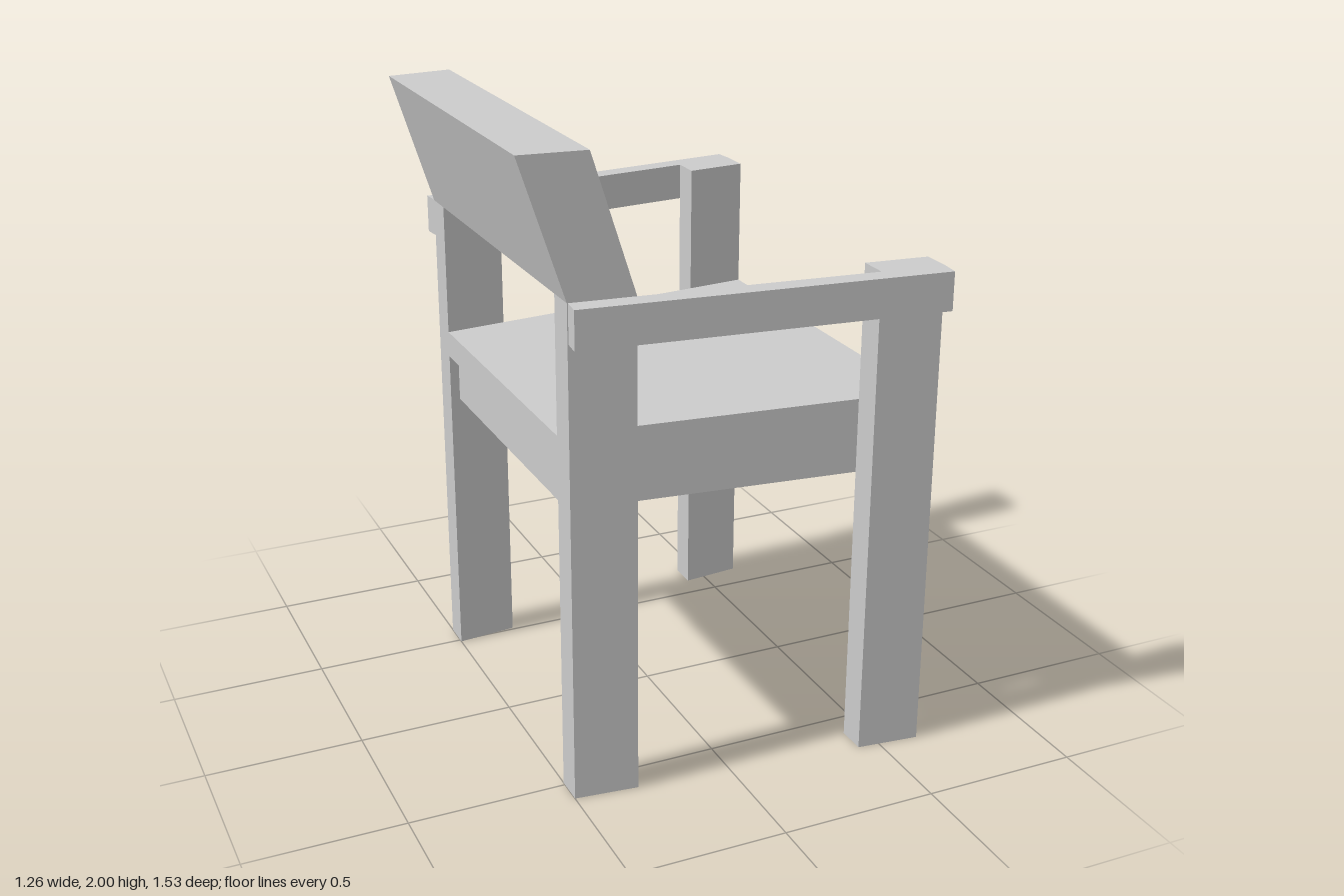
import * as THREE from 'three';

const material = new THREE.MeshStandardMaterial({ color: 0xcccccc, flatShading: true });

// The sides of the chair splay outwards towards the front (+x).
const inner = (x) => 0.51 + 0.1075 * (x + 0.3);   // inner face of the legs
const outer = (x) => inner(x) + 0.094;            // outer face of the legs
const arm = (x) => outer(x) + 0.063;              // outer face of the armrests

// Plan outline: four [x, z] corners, back to front, -z side first.
const span = (x0, x1, z) => [[x0, -z(x0)], [x1, -z(x1)], [x1, z(x1)], [x0, z(x0)]];

// Mirror a plan outline in z, keeping its winding.
const mirror = (p) => p.map(([x, z]) => [x, -z]).reverse();

// Solid between a bottom outline at y0 and a top outline at y1.
function block(name, bottom, y0, y1, top = bottom) {
  const b = bottom.map(([x, z]) => [x, y0, z]);
  const t = top.map(([x, z]) => [x, y1, z]);
  const pos = [];
  const quad = (p, q, r, s) => pos.push(...p, ...q, ...r, ...p, ...r, ...s);
  quad(...b);
  quad(t[0], t[3], t[2], t[1]);
  for (let i = 0; i < 4; i++) {
    const j = (i + 1) % 4;
    quad(b[i], t[i], t[j], b[j]);
  }
  const geometry = new THREE.BufferGeometry();
  geometry.setAttribute('position', new THREE.Float32BufferAttribute(pos, 3));
  geometry.computeVertexNormals();
  const mesh = new THREE.Mesh(geometry, material);
  mesh.name = name;
  return mesh;
}

export function createModel() {
  const chair = new THREE.Group();
  chair.name = 'armchair';
  const armY = 1.58;

  // Legs and armrests, one set per side
  const legPlan = (x0, x1) =>
    [[x0, inner(x0)], [x1, inner(x1)], [x1, outer(x1)], [x0, outer(x0)]];
  const armPlan =
    [[-0.497, outer(-0.497)], [0.63, outer(0.63)], [0.623, arm(0.623)], [-0.504, arm(-0.504)]];
  for (const [side, place] of [['left', (p) => p], ['right', mirror]]) {
    chair.add(
      block(side + 'BackLeg', place(legPlan(-0.5, -0.3)), 0, armY),
      block(side + 'FrontLeg', place(legPlan(0.43, 0.63)), 0, armY),
      block(side + 'Armrest', place(armPlan), 1.46, armY),
    );
  }

  // Seat board with a slightly recessed base below it
  chair.add(block('seat', span(-0.5, 0.63, inner), 1.07, 1.155));
  chair.add(block('seatBase', span(-0.47, 0.6, (x) => inner(x) - 0.005), 0.915, 1.07));

  // Backrest leaning back from the top of the rear legs
  chair.add(block('backrest', span(-0.5, -0.3, outer), armY, 2, span(-0.635, -0.43, outer)));

  return chair;
}
